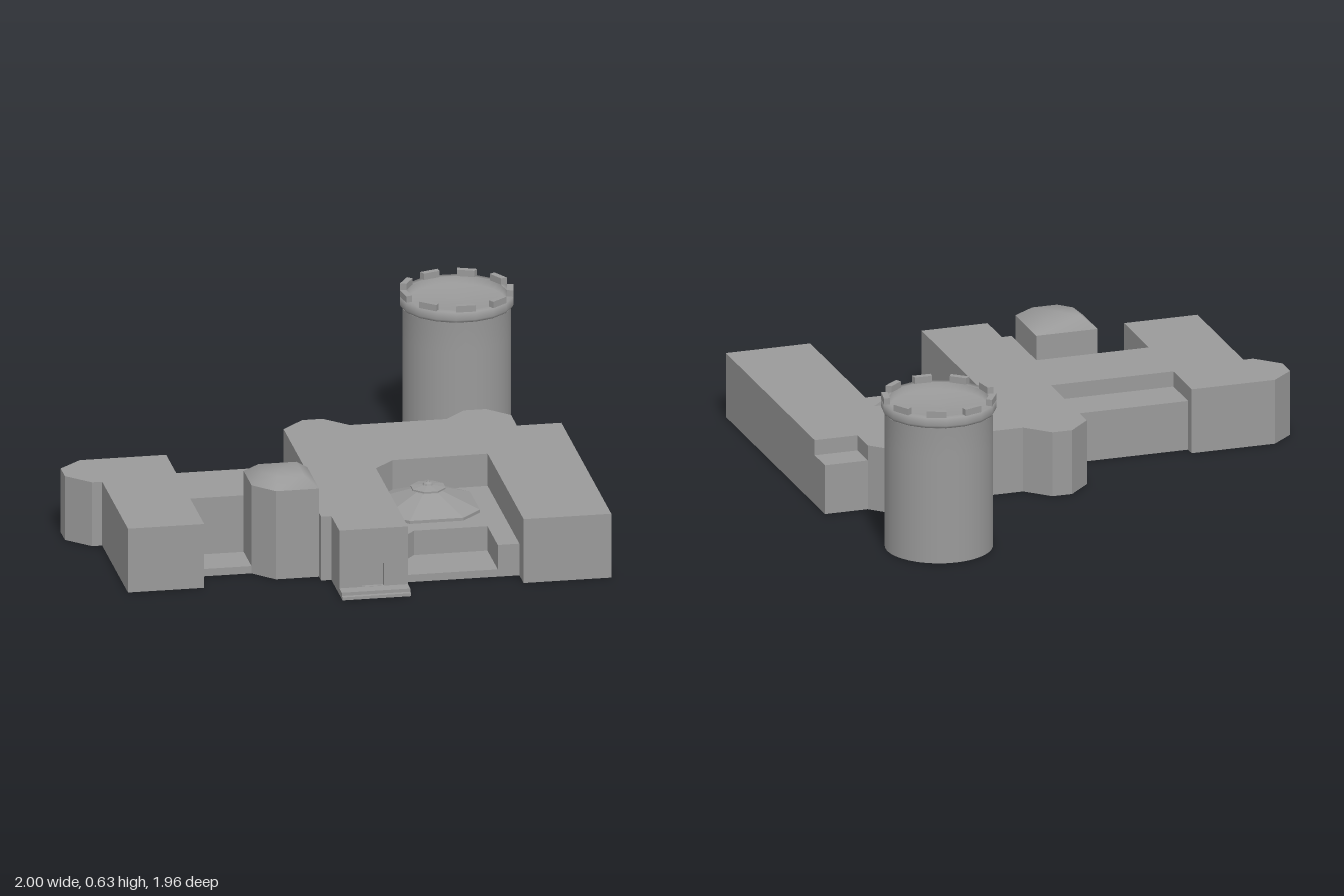
import * as THREE from 'three';

const flat = new THREE.MeshStandardMaterial({ color: 0x9a9a9a, side: THREE.DoubleSide, flatShading: true });
const smooth = new THREE.MeshStandardMaterial({ color: 0x9a9a9a, side: THREE.DoubleSide });

function add(parent, name, geometry, material = flat) {
  const mesh = new THREE.Mesh(geometry, material);
  mesh.name = name;
  parent.add(mesh);
}

function fromTriangles(positions, index) {
  const g = new THREE.BufferGeometry();
  g.setAttribute('position', new THREE.Float32BufferAttribute(positions, 3));
  if (index) g.setIndex(index);
  g.computeVertexNormals();
  return g;
}

const vectors = (pts) => pts.map(([x, y]) => new THREE.Vector2(x, y));
const planShape = (pts) => new THREE.Shape(vectors(pts.map(([x, z]) => [x, -z])));

// Open-bottomed block: plan points are [x, z, base], base being the foot of the
// wall that starts there (0 if omitted, no wall where base reaches the top).
function addBlock(parent, name, pts, top, { hole, roof = true } = {}) {
  const block = new THREE.Group();
  block.name = name;
  parent.add(block);
  const pos = [];
  pts.forEach(([ax, az, base = 0], i) => {
    if (base >= top) return;
    const [bx, bz] = pts[(i + 1) % pts.length];
    pos.push(bx, base, bz, ax, base, az, ax, top, az);
    pos.push(bx, base, bz, ax, top, az, bx, top, bz);
  });
  add(block, name + 'Walls', fromTriangles(pos));
  if (!roof) return;
  const shape = planShape(pts);
  if (hole) shape.holes.push(planShape(hole));
  add(block, name + 'Roof', new THREE.ShapeGeometry(shape).rotateX(-Math.PI / 2).translate(0, top, 0));
}

// Roof made of rings: a plan outline scaled about its centre at each [scale, y]
function loft(pts, [cx, cz], levels) {
  const n = pts.length, pos = [], index = [];
  for (const [s, y] of levels) for (const [x, z] of pts) pos.push(cx + (x - cx) * s, y, cz + (z - cz) * s);
  for (let l = 0; l < levels.length - 1; l++) {
    for (let i = 0; i < n; i++) {
      const a = l * n + i, b = l * n + (i + 1) % n;
      index.push(b, a, a + n, b, a + n, b + n);
    }
  }
  const last = (levels.length - 1) * n, centre = pos.length / 3;
  pos.push(cx, levels[levels.length - 1][1], cz);
  for (let i = 0; i < n; i++) index.push(last + (i + 1) % n, last + i, centre);
  return fromTriangles(pos, index);
}

function addBox(parent, name, x0, x1, y0, y1, z0, z1) {
  const g = new THREE.BoxGeometry(x1 - x0, y1 - y0, z1 - z0);
  add(parent, name, g.translate((x0 + x1) / 2, (y0 + y1) / 2, (z0 + z1) / 2));
}

export function createModel() {
  const model = new THREE.Group();
  model.name = 'buildingComplex';
  const H = 0.262, LOW = 0.13, STEP = 0.03, MID = 0.2;

  // Main building with its wings, bays and courtyard walls
  addBlock(model, 'mainBuilding', [
    [-1, 0.01], [-0.91, -0.07], [-0.57, -0.07], [-0.57, -0.027, MID], [-0.57, 0.15, MID], [-0.07, 0.15, MID],
    [-0.07, -0.027], [-0.07, -0.278], [0.02, -0.367], [0.1, -0.367], [0.19, -0.278], [0.57, -0.278],
    [0.655, -0.363], [0.742, -0.363], [0.825, -0.278, MID], [0.825, -0.155, MID], [1, -0.155], [1, 0.91],
    [0.655, 0.91], [0.655, 0.82, LOW], [0.655, 0.143, LOW], [0.28, 0.15, LOW], [0.2, 0.23, LOW],
    [0.2, 0.695, STEP], [0.2, 0.82], [0.2, 0.91, 1], [-0.07, 0.91], [-0.07, 0.74], [-0.11, 0.74],
    [-0.11, 0.443], [-0.57, 0.443], [-0.57, 0.74], [-0.87, 0.74], [-0.87, 0.19], [-0.91, 0.19], [-1, 0.1],
  ], H);

  // Lower roofs at the back
  addBlock(model, 'backGallery', [[-0.57, -0.027], [-0.07, -0.027, 1], [-0.07, 0.15, 1], [-0.57, 0.15, 1]], MID);
  addBlock(model, 'cornerAnnex', [[0.825, -0.278], [1, -0.278], [1, -0.155, 1], [0.825, -0.155, 1]], MID);

  // Courtyard level with the pavilion roof standing in it
  const c = [0.385, 0.335];
  const octagon = [[0.2, 0.23], [0.28, 0.15], [0.49, 0.15], [0.57, 0.23],
    [0.57, 0.44], [0.49, 0.52], [0.28, 0.52], [0.2, 0.44]];
  const hole = octagon.map(([x, z]) => [c[0] + (x - c[0]) * 0.97, c[1] + (z - c[1]) * 0.97]);
  addBlock(model, 'courtyard', [
    [0.2, 0.23, 1], [0.28, 0.15, 1], [0.655, 0.143, 1], [0.655, 0.82], [0.57, 0.82, STEP],
    [0.57, 0.6, STEP], [0.28, 0.6, STEP], [0.2, 0.695, 1],
  ], LOW, { hole });

  const pavilion = new THREE.Group();
  pavilion.name = 'pavilion';
  model.add(pavilion);
  add(pavilion, 'pavilionRoof', loft(octagon, c, [[1, LOW], [1, 0.142], [0.28, 0.2]]));
  const turned = (name, profile) => {
    const g = new THREE.LatheGeometry(vectors(profile), 8, Math.PI / 8);
    add(pavilion, name, g.translate(c[0], 0, c[1]));
  };
  turned('lantern', [[0.045, 0.198], [0.045, 0.207], [0.07, 0.207], [0.07, 0.213], [0.02, 0.221], [0, 0.221]]);
  turned('finial', [[0.022, 0.22], [0.018, 0.228], [0.006, 0.232], [0, 0.242]]);

  // Low terraces
  addBlock(model, 'frontTerrace', [[0.2, 0.695, 1], [0.28, 0.6, 1], [0.57, 0.6, 1], [0.57, 0.82], [0.2, 0.82, 1]], STEP);
  addBlock(model, 'sideTerrace', [[-0.57, 0.443, 1], [-0.36, 0.443, 1], [-0.36, 0.61], [-0.57, 0.61, 1]], STEP);

  // Raised bay with a softly shaded cap
  const bay = [[-0.36, 0.443, H], [-0.11, 0.443], [-0.11, 0.695], [-0.28, 0.695], [-0.36, 0.61]];
  addBlock(model, 'raisedBay', bay, 0.362, { roof: false });
  add(model, 'raisedBayCap', loft(bay, [-0.24, 0.57], [[1, 0.362], [0.6, 0.405]]), smooth);

  // Entrance front with a recessed door, and its steps
  const front = new THREE.Shape(vectors([[-0.07, 0], [0.2, 0], [0.2, H], [-0.07, H]]));
  front.holes.push(new THREE.Path(vectors([[0.02, 0.026], [0.02, 0.117], [0.105, 0.117], [0.105, 0.026]])));
  const frontWall = new THREE.ExtrudeGeometry(front, { depth: 0.015, bevelEnabled: false });
  add(model, 'entranceWall', frontWall.translate(0, 0, 0.895));
  addBox(model, 'door', 0.01, 0.115, 0.02, 0.125, 0.89, 0.896);
  addBox(model, 'lowerStep', -0.07, 0.2, 0, 0.012, 0.91, 0.98);
  addBox(model, 'upperStep', -0.07, 0.2, 0.012, 0.025, 0.91, 0.962);

  // Bridge to the tower
  addBox(model, 'bridge', 0.658, 0.74, 0.127, 0.133, -0.57, -0.36);

  // Round tower with a battlemented crown
  const tower = new THREE.Group();
  tower.name = 'tower';
  tower.position.set(0.7, 0, -0.762);
  model.add(tower);
  const deg = Math.PI / 180;
  const ring = (name, profile, sides) =>
    add(tower, name, new THREE.LatheGeometry(vectors(profile), sides, 9 * deg), smooth);
  ring('towerWall', [[0.21, 0], [0.21, 0.43], [0.21, 0.555], [0.216, 0.556]], 36);
  ring('towerFloor', [[0, 0.568], [0.19, 0.572], [0.2, 0.6]], 36);
  ring('towerCrown', [[0.208, 0.556], [0.218, 0.557], [0.223, 0.567], [0.223, 0.6], [0.198, 0.6]], 18);
  const at = (r, a) => [r * Math.sin(a * deg), r * Math.cos(a * deg)];
  for (let k = 0; k < 9; k++) {
    const a = 29 + 40 * k, b = a + 20;
    const plan = planShape([at(0.198, a), at(0.223, a), at(0.223, b), at(0.198, b)]);
    const g = new THREE.ExtrudeGeometry(plan, { depth: 0.026, bevelEnabled: false });
    add(tower, 'merlon', g.rotateX(-Math.PI / 2).translate(0, 0.6, 0));
  }
  return model;
}
